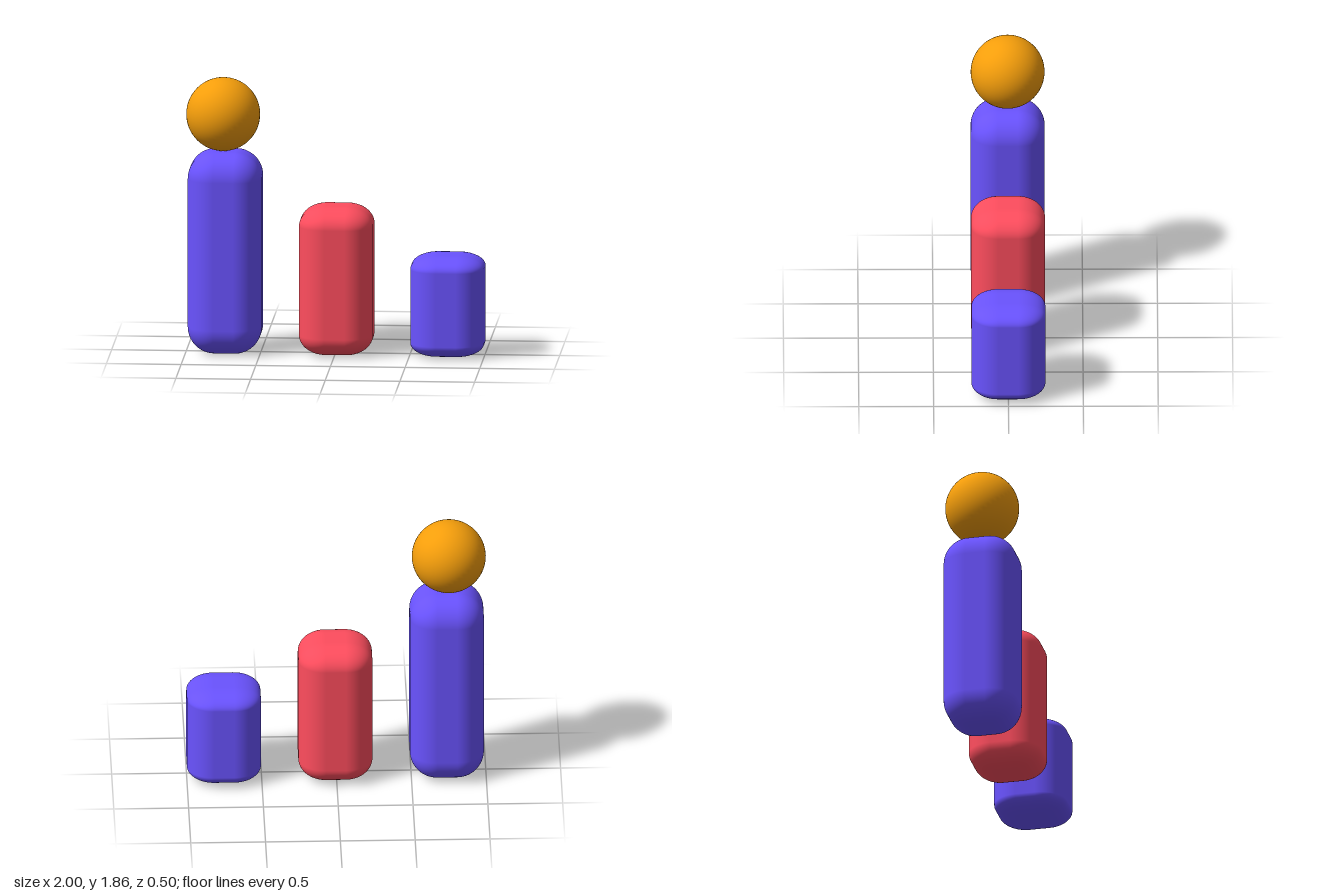
import * as THREE from 'three';
import { RoundedBoxGeometry } from 'three/addons/geometries/RoundedBoxGeometry.js';

const WIDTH = 0.495;
const TALL = 1.365;

export function createModel() {
  const group = new THREE.Group();
  const violet = new THREE.MeshStandardMaterial({ color: 0x6a53ff });
  const red = new THREE.MeshStandardMaterial({ color: 0xff4d5e });
  const orange = new THREE.MeshStandardMaterial({ color: 0xf59e0b });

  // One rounded bar, squashed to height so its end rounding flattens too
  const barGeometry = new RoundedBoxGeometry(WIDTH, TALL, WIDTH, 10, 0.18);
  const addBar = (name, x, height, material) => {
    const geometry = barGeometry.clone().scale(1, height / TALL, 1);
    const bar = new THREE.Mesh(geometry, material);
    bar.name = name;
    bar.position.set(x, height / 2, 0);
    group.add(bar);
  };
  addBar('tallBar', -0.738, TALL, violet);
  addBar('middleBar', 0.007, 1.005, red);
  addBar('shortBar', 0.752, 0.68, violet);

  // Ball resting on the tall bar
  const ball = new THREE.Mesh(new THREE.SphereGeometry(0.247, 48, 32), orange);
  ball.name = 'ball';
  ball.position.set(-0.753, 1.612, 0);
  group.add(ball);

  return group;
}
